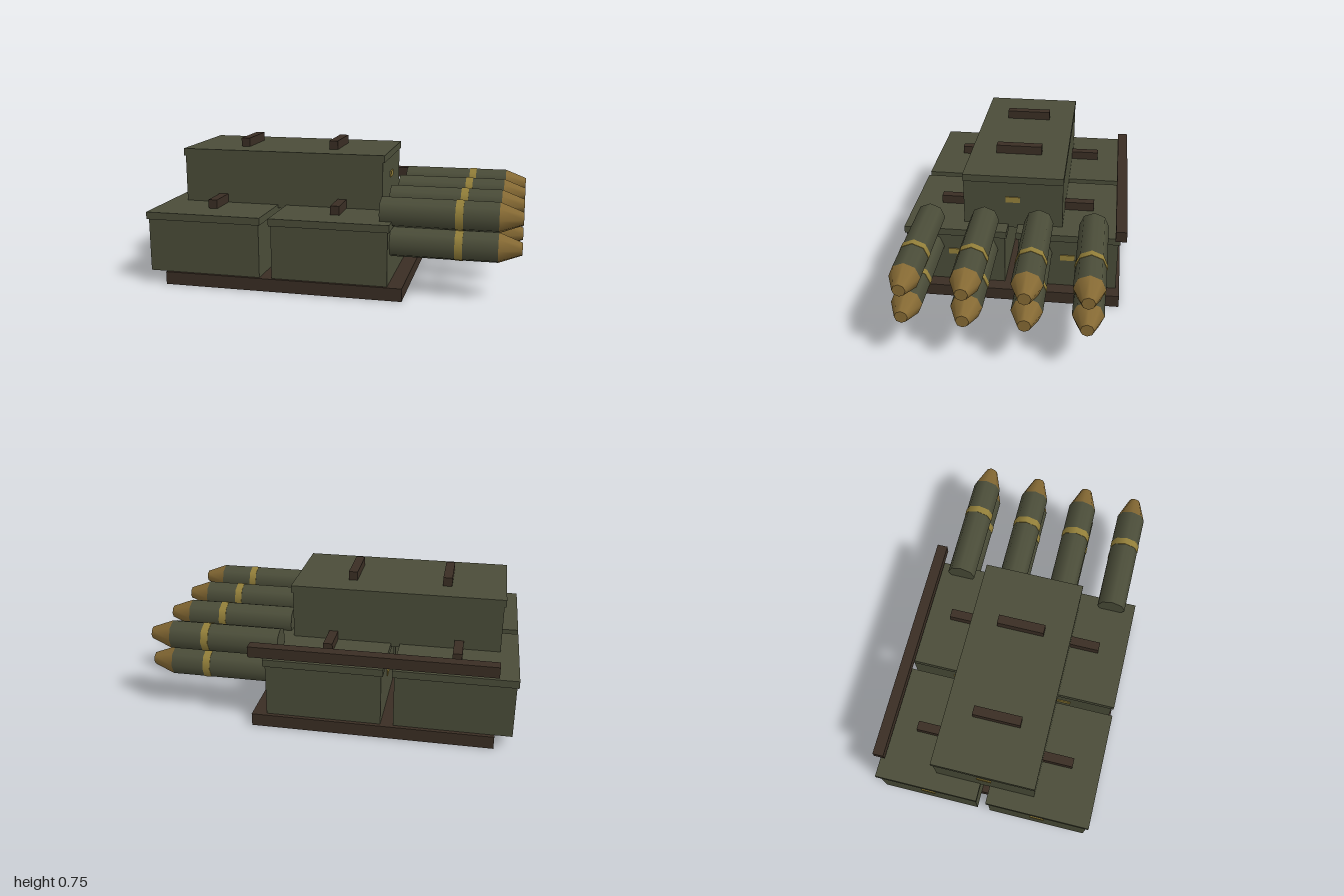
import * as THREE from 'three';

const material = (name, color) => {
  const m = new THREE.MeshStandardMaterial({ color });
  m.name = name;
  return m;
};

export function createModel() {
  const green = material('olive paint', 0x4b4d39);
  const wood = material('dark wood', 0x3a2e24);
  const brass = material('brass', 0x94803a);
  const copper = material('copper nose', 0x866a34);

  const model = new THREE.Group();
  model.name = 'ammunitionStack';

  // Box given by its extents on each axis
  const box = (parent, name, mat, [x0, x1], [y0, y1], [z0, z1]) => {
    const mesh = new THREE.Mesh(new THREE.BoxGeometry(x1 - x0, y1 - y0, z1 - z0), mat);
    mesh.position.set((x0 + x1) / 2, (y0 + y1) / 2, (z0 + z1) / 2);
    mesh.name = name;
    parent.add(mesh);
  };
  const span = (centre, size) => [centre - size / 2, centre + size / 2];

  // Pallet and the loose rail behind the crates
  box(model, 'pallet', wood, [-0.9, 0.405], [0, 0.07], [-0.6, 0.62]);
  box(model, 'rail', wood, [-0.9, 0.405], [0.425, 0.485], [-0.62, -0.56]);

  // Crate with lid, top handles and a latch plate on each end
  const crate = (name, x, z, length, width, y0, y1, overhang, handles, latchY) => {
    const group = new THREE.Group();
    group.name = name;
    box(group, 'crateBody', green, span(x, length), [y0, y1 - 0.04], span(z, width));
    box(group, 'crateLid', green, span(x, length + 0.02), [y1 - 0.04, y1], span(z, width + overhang * 2));
    for (const dx of handles) {
      box(group, 'handle', wood, span(x + dx, 0.05), [y1, y1 + 0.049], span(z, 0.26));
    }
    for (const side of [-1, 1]) {
      box(group, 'latch', brass, span(x + side * (length / 2 + 0.002), 0.008), span(latchY, 0.033), span(z, 0.08));
    }
    model.add(group);
  };
  for (const x of [-0.68, 0.013]) {
    for (const z of [0.327, -0.301]) {
      crate('lowerCrate', x, z, 0.625, 0.555, 0.07, 0.4, 0.01, [0], 0.254);
    }
  }
  crate('upperCrate', -0.332, 0.013, 1.145, 0.553, 0.38, 0.702, 0.002, [-0.262, 0.262], 0.557);

  // Eight-sided shells lying along x
  const tube = (x0, x1, r0, r1) => {
    const g = new THREE.CylinderGeometry(r1, r0, x1 - x0, 8);
    g.rotateZ(-Math.PI / 2);
    g.translate((x0 + x1) / 2, 0, 0);
    return g;
  };
  const shellParts = [
    ['shellCasing', tube(0.27, 0.88, 0.081, 0.081), green],
    ['shellBand', tube(0.66, 0.7, 0.0835, 0.0835), brass],
    ['shellNose', tube(0.88, 1, 0.081, 0.034), copper],
  ];
  for (const y of [0.28, 0.438]) {
    for (const z of [0.474, 0.169, -0.135, -0.44]) {
      const shell = new THREE.Group();
      shell.name = 'shell';
      shell.position.set(0, y, z);
      for (const [name, geometry, mat] of shellParts) {
        const mesh = new THREE.Mesh(geometry, mat);
        mesh.name = name;
        shell.add(mesh);
      }
      model.add(shell);
    }
  }
  return model;
}
